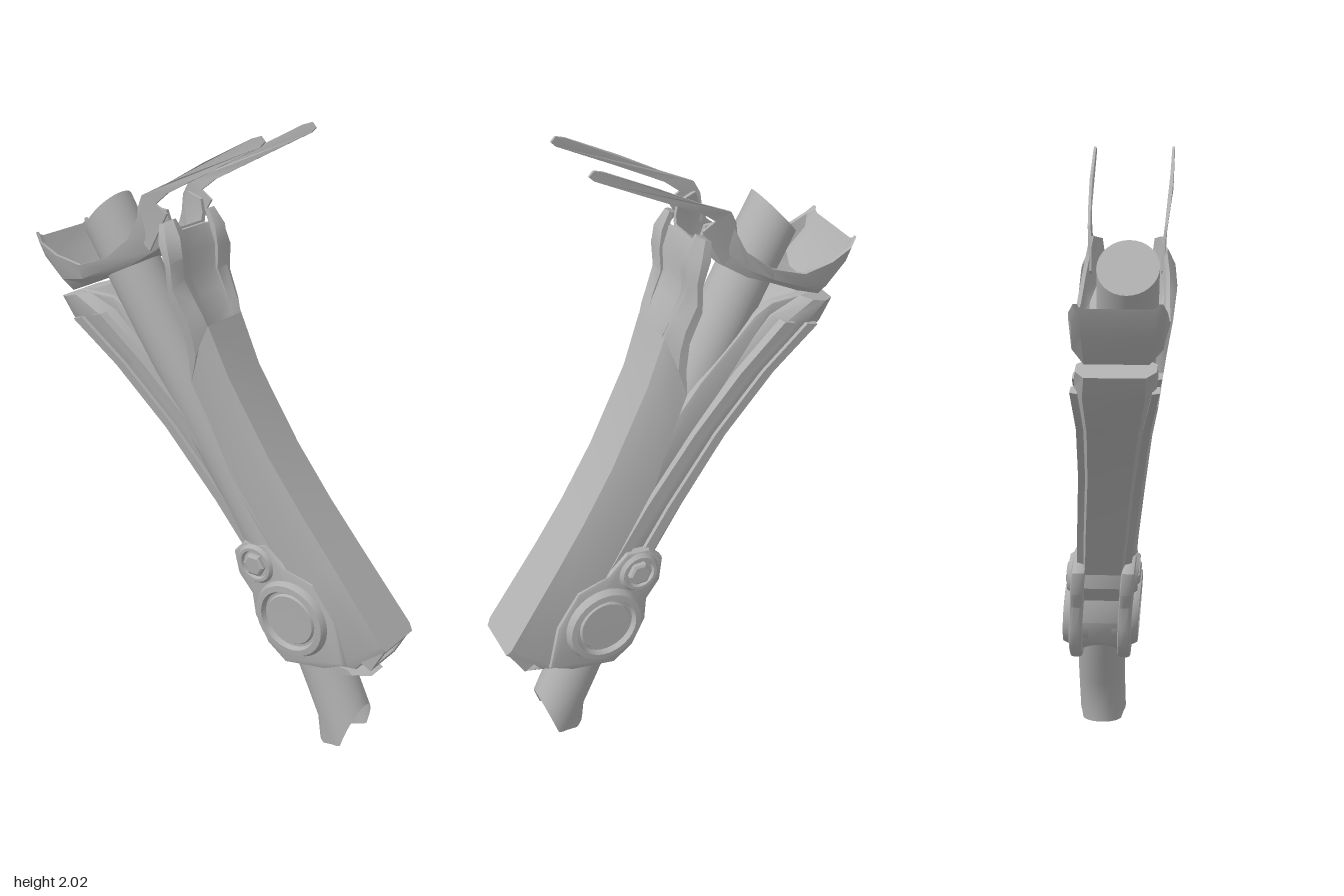
import * as THREE from 'three';
import { toCreasedNormals } from 'three/addons/utils/BufferGeometryUtils.js';

// The limb leans sideways in a gentle S: x centre as a function of height
const leanX = y => 0.073 - 0.118 * THREE.MathUtils.smoothstep(y, 0.14, 1.75);
const lerp = (a, b, t) => a + (b - a) * t;

// Skin a list of equal-sized closed rings (even point count), capped at both ends
function loft(rings) {
  const n = rings[0].length, idx = [];
  const quad = (a, b, c, d) => idx.push(a, b, c, a, c, d);
  for (let r = 0; r < rings.length - 1; r++) {
    for (let i = 0; i < n; i++) {
      const j = (i + 1) % n;
      quad(r * n + i, r * n + j, (r + 1) * n + j, (r + 1) * n + i);
    }
  }
  const e = (rings.length - 1) * n;
  for (let i = 0; i < n / 2 - 1; i++) {
    quad(i, n - 1 - i, n - 2 - i, i + 1);
    quad(e + i, e + i + 1, e + n - 2 - i, e + n - 1 - i);
  }
  // Turn the faces outward if the enclosed volume comes out negative
  const p = rings.flat().map(q => new THREE.Vector3(...q));
  let vol = 0;
  for (let i = 0; i < idx.length; i += 3) {
    vol += p[idx[i]].dot(p[idx[i + 1]].clone().cross(p[idx[i + 2]]));
  }
  if (vol < 0) idx.reverse();
  const g = new THREE.BufferGeometry();
  g.setAttribute('position', new THREE.Float32BufferAttribute(rings.flat(2), 3));
  g.setIndex(idx);
  return g;
}

// Channel section: web at (fz, fy), open edges at (bz, by), wall thickness t
function channel([fz, fy, bz, by, wf, wb], t) {
  const k = Math.min(0.5, t / Math.hypot(fz - bz, fy - by));
  const at = (x, s) => [x, lerp(fy, by, s), lerp(fz, bz, s)];
  const wm = lerp(wf, wb, 0.75);
  const half = (o, s) => [at(wb - o, 1), at(wm - o, lerp(s, 1, 0.35)), at(wf - o, s)];
  const flip = pts => pts.map(([x, y, z]) => [-x, y, z]).reverse();
  const outer = half(0, 0), inner = half(t, k);
  return [...outer, ...flip(outer), ...flip(inner).reverse(), ...inner.slice().reverse()];
}

// Outline in (z, y) extruded along x from x0 to x1
function slab(pts, x0, x1, bevel = 0) {
  const shape = new THREE.Shape(pts.map(([z, y]) => new THREE.Vector2(-z, y)));
  return new THREE.ExtrudeGeometry(shape, {
    depth: x1 - x0 - 2 * bevel, bevelEnabled: bevel > 0, bevelSize: bevel,
    bevelThickness: bevel, bevelOffset: -bevel, bevelSegments: 2,
  }).rotateY(Math.PI / 2).translate(x0 + bevel, 0, 0);
}

// Turned cap whose axis points to the given side
function sideCap(profile, side, z, y, segs) {
  return new THREE.LatheGeometry(profile.map(q => new THREE.Vector2(...q)), segs)
    .rotateZ(-side * Math.PI / 2).translate(0, y, z);
}

export function createModel() {
  const group = new THREE.Group();
  const grey = new THREE.MeshStandardMaterial({ color: 0xb0b0b0, side: THREE.DoubleSide });
  grey.name = 'grey';
  const add = (name, geo, crease = 0.6) => {
    const p = geo.attributes.position;
    for (let i = 0; i < p.count; i++) p.setX(i, p.getX(i) + leanX(p.getY(i)));
    const mesh = new THREE.Mesh(toCreasedNormals(geo, crease), grey);
    mesh.name = name;
    group.add(mesh);
  };

  // Front shell: long channel, slightly wider towards the top
  add('frontShell', loft([
    [0.635, 0.425, 0.5, 0.32, 0.08, 0.09],
    [0.62, 0.445, 0.49, 0.335, 0.09, 0.095],
    [0.44, 0.68, 0.33, 0.54, 0.083, 0.1],
    [0.335, 0.82, 0.21, 0.72, 0.081, 0.103],
    [0.22, 0.99, 0.09, 0.9, 0.08, 0.107],
    [0.085, 1.23, 0.01, 1.1, 0.08, 0.112],
    [0.02, 1.39, -0.03, 1.2, 0.085, 0.122],
  ].map(r => channel(r, 0.018))));

  // Recessed trough closing the back of the notch at the top of the front shell
  add('notchTrough', loft([
    [1.36, 0.01, 0.05], [1.42, -0.012, 0.066], [1.47, -0.038, 0.072],
    [1.53, -0.066, 0.074], [1.6, -0.066, 0.076], [1.665, -0.092, 0.08],
  ].map(([y, z, w]) => [
    [-w, y, z + 0.01], [-w * 0.7, y, z], [w * 0.7, y, z], [w, y, z + 0.01],
    [w, y, z], [w * 0.7, y, z - 0.01], [-w * 0.7, y, z - 0.01], [-w, y, z],
  ])));

  // Small frame closing the lower end of the front shell
  const rect = (w, h, P) => new P([[-w, -h], [w, -h], [w, h], [-w, h]].map(q => new THREE.Vector2(...q)));
  const frame = rect(0.075, 0.05, THREE.Shape);
  frame.holes.push(rect(0.05, 0.026, THREE.Path));
  add('endFrame', new THREE.ExtrudeGeometry(frame, { depth: 0.04, bevelEnabled: false })
    .rotateX(0.5).translate(0, 0.39, 0.565));
  add('endLip', loft([[-0.075, 0.6], [-0.04, 1], [0.03, 1], [0.05, 0.5]].map(([x, k]) => [
    [x, 0.285, 0.43 + 0.13 * k], [x, 0.3, 0.43 + 0.1 * k], [x, 0.3, 0.42], [x, 0.285 - 0.03 * k, 0.46],
  ])));

  // Upper rod with a slanted top
  const upper = new THREE.CylinderGeometry(0.09, 0.09, 1.42, 32, 8);
  const up = upper.attributes.position;
  for (let i = 0; i < up.count; i++) {
    if (up.getY(i) > 0.7) up.setY(i, up.getY(i) + 0.36 * up.getZ(i));
  }
  add('upperRod', upper.rotateX(-0.528).translate(-0.014, 1.052, -0.058));

  // Lower rod: oval tube, open end cut away at the front with a small heel at the back
  const lower = new THREE.CylinderGeometry(0.082, 0.082, 0.4, 32, 4, true);
  const lp = lower.attributes.position;
  for (let i = 0; i < lp.count; i++) {
    const c = lp.getZ(i) / 0.082;
    const end = lp.getY(i) < -0.19;
    lp.setZ(i, 0.09 * c - (end && c < -0.5 ? 0.025 : 0));
    if (end) lp.setY(i, lp.getY(i) + (c > 0 ? 0.1 * c : 0.03 * c * c));
  }
  add('lowerRod', lower.rotateX(-0.44).translate(0, 0.185, 0.39));

  // Rear shell: rounded solid below the rod
  const rear = [
    [0.3, 0.62, 0.1, 0.6, 0.08],
    [0.14, 0.84, -0.02, 0.77, 0.085],
    [-0.04, 1.05, -0.2, 0.995, 0.09],
    [-0.2, 1.22, -0.38, 1.18, 0.1],
    [-0.35, 1.37, -0.53, 1.31, 0.118],
    [-0.46, 1.41, -0.575, 1.375, 0.115],
  ];
  const rearSection = [[0.75, 0], [1, 0.25], [1, 0.65], [0.75, 1]];
  add('rearShell', loft(rear.map(([fz, fy, bz, by, w]) => {
    const side = rearSection.map(([x, s]) => [x * w, lerp(fy, by, s), lerp(fz, bz, s)]);
    return [...side, ...side.map(([x, y, z]) => [-x, y, z]).reverse()];
  })));

  // Collar: scoop around the top of the rod, its back wall sloping outward
  add('collar', loft([
    [-0.1, 1.66, -0.12, 1.73, 0.07, 0.09],
    [-0.16, 1.6, -0.19, 1.74, 0.095, 0.112],
    [-0.25, 1.54, -0.24, 1.63, 0.115, 0.13],
    [-0.34, 1.495, -0.33, 1.555, 0.11, 0.135],
    [-0.44, 1.44, -0.44, 1.515, 0.1, 0.142],
    [-0.52, 1.405, -0.54, 1.53, 0.092, 0.14],
    [-0.59, 1.49, -0.61, 1.56, 0.1, 0.135],
    [-0.625, 1.56, -0.635, 1.585, 0.105, 0.122],
  ].map(r => channel(r, 0.012))));

  for (const s of [1, -1]) {
    const side = s > 0 ? 'left' : 'right';
    const mirror = rings => rings.map(r => r.map(([x, y, z]) => [s * x, y, z]));
    const span = (a, b) => (s > 0 ? [a, b] : [-b, -a]);

    // Broad prongs continuing the front shell around a U-shaped notch
    add(side + 'Prong', loft(mirror([
      [0.02, 1.385, -0.03, 1.2, 0.035, 0.085, 0.122],
      [0.008, 1.42, -0.03, 1.29, 0.056, 0.09, 0.126],
      [-0.012, 1.46, -0.04, 1.38, 0.064, 0.096, 0.133],
      [-0.045, 1.53, -0.08, 1.48, 0.066, 0.106, 0.144],
      [-0.043, 1.6, -0.08, 1.57, 0.068, 0.112, 0.15],
      [-0.052, 1.66, -0.11, 1.64, 0.072, 0.11, 0.142],
      [-0.085, 1.71, -0.125, 1.69, 0.08, 0.1, 0.118],
    ].map(([zf, yf, zb, yb, a, m, b]) => {
      const at = (x, t) => [x, lerp(yf, yb, t), lerp(zf, zb, t)];
      return [at(a, 0.15), at(m, 0), at(b, 0.5), at(b, 1), at(b - 0.02, 1), at(a, 0.5)];
    }))));

    // Thin blade reaching forward from the collar
    const blade = slab([[0.265, 1.985], [0.25, 2], [0.22, 1.99], [0.05, 1.9], [-0.08, 1.825], [-0.19, 1.77],
      [-0.21, 1.73], [-0.22, 1.64], [-0.17, 1.6], [-0.12, 1.69], [-0.1, 1.725], [-0.14, 1.75],
      [-0.09, 1.79], [0.06, 1.87], [0.25, 1.97]], ...span(0, 0.008));
    const bp = blade.attributes.position;
    for (let i = 0; i < bp.count; i++) {
      const lift = THREE.MathUtils.clamp((bp.getY(i) - 1.72) / 0.15, 0, 1);
      bp.setX(i, bp.getX(i) + s * lerp(0.104, 0.122, lift));
    }
    add(side + 'Blade', blade);

    // Raised rails following the rear shell
    const rail = (s0, s1, inset) => loft(mirror(rear.slice(0, 5).map(([fz, fy, bz, by, w]) =>
      [[0, s0], [inset, s0 + 0.04], [inset, s1 - 0.04], [0, s1]].map(([x, t]) =>
        [w - 0.012 + x, lerp(fy, by, t), lerp(fz, bz, t)]))));
    add(side + 'UpperRail', rail(0.12, 0.4, 0.024));
    add(side + 'LowerRail', rail(0.58, 0.86, 0.022));
    // Inner rail lying between rod and rear shell
    add(side + 'InnerRail', slab([[0.3, 0.66], [0.1, 0.98], [-0.1, 1.2], [-0.3, 1.38], [-0.36, 1.41],
      [-0.49, 1.41], [-0.3, 1.29], [-0.1, 1.06], [0.2, 0.68]], ...span(0.055, 0.083), 0.006));

    // Joint discs and small pivot
    add(side + 'JointDisc', sideCap([[0.135, 0.04], [0.135, 0.108], [0.125, 0.128], [0.105, 0.13],
      [0.098, 0.112], [0.09, 0.112], [0.085, 0.12], [0, 0.12]], s, 0.3, 0.44, 32));
    add(side + 'PivotRing', sideCap([[0.07, 0.04], [0.07, 0.105], [0.06, 0.118], [0.05, 0.118],
      [0.046, 0.106], [0, 0.106]], s, 0.165, 0.6, 20));
    add(side + 'PivotBolt', sideCap([[0.04, 0.1], [0.04, 0.12], [0.032, 0.125], [0, 0.125]], s, 0.165, 0.6, 6), 0.3);
    // Cheek plate behind the discs
    add(side + 'Cheek', slab([[0.5, 0.33], [0.42, 0.29], [0.27, 0.26], [0.2, 0.31], [0.15, 0.4], [0.14, 0.48],
      [0.09, 0.54], [0.075, 0.62], [0.12, 0.67], [0.2, 0.68], [0.27, 0.62], [0.38, 0.59], [0.46, 0.48]],
    ...span(0.06, 0.106), 0.012));
  }

  // Housing core between the cheeks
  add('jointHousing', slab([[0.56, 0.36], [0.52, 0.31], [0.42, 0.29], [0.29, 0.28], [0.21, 0.33], [0.16, 0.42],
    [0.16, 0.5], [0.1, 0.56], [0.09, 0.63], [0.18, 0.7], [0.34, 0.68], [0.5, 0.5]], -0.075, 0.075, 0.01));

  return group;
}
